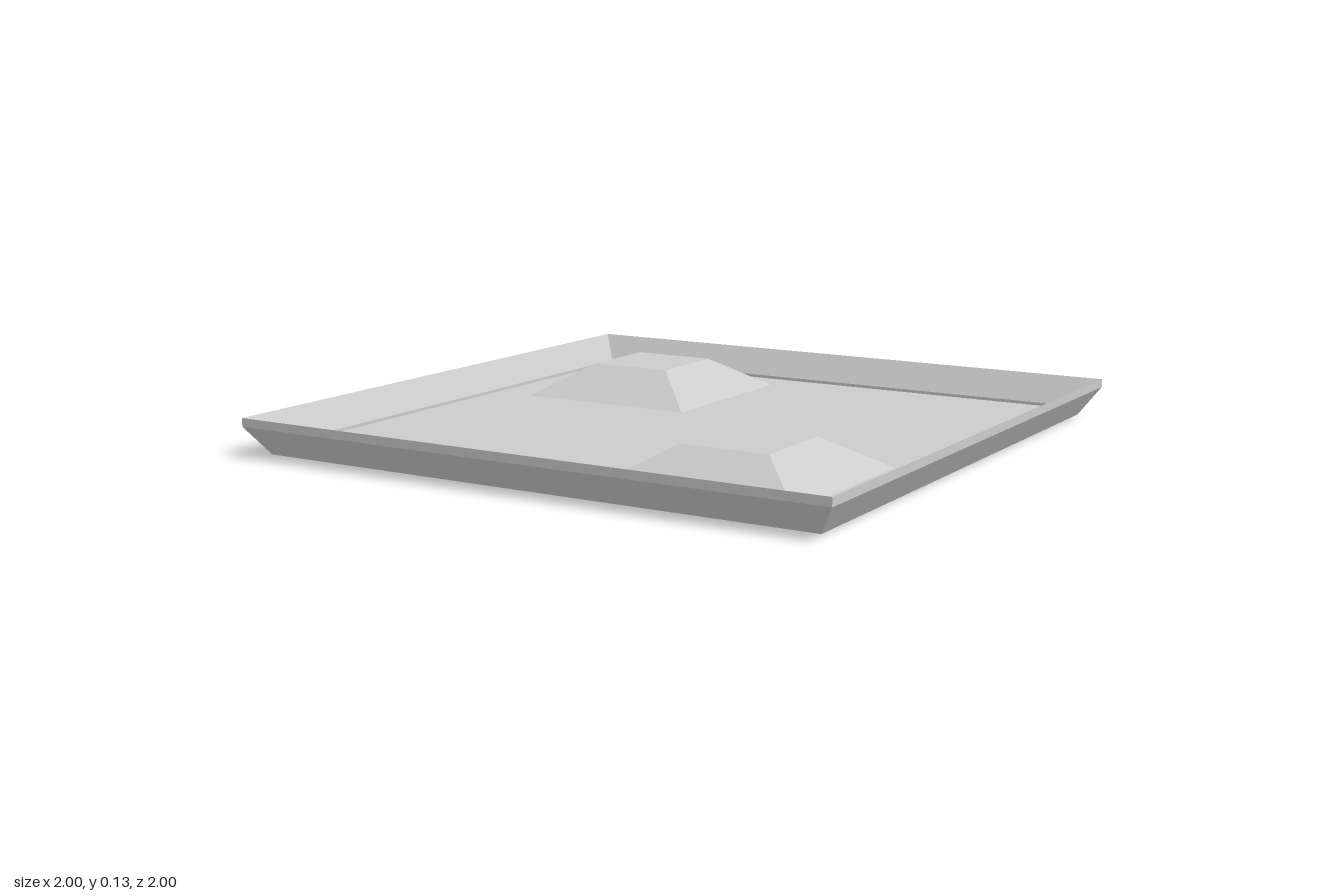
import * as THREE from 'three';

const material = new THREE.MeshStandardMaterial({
  color: 0xcccccc, flatShading: true, side: THREE.DoubleSide,
});

// Square ring swept from a profile of [half width, height] points.
function squareLathe(name, profile) {
  const points = profile.map(([h, y]) => new THREE.Vector2(h * Math.SQRT2, y));
  const geometry = new THREE.LatheGeometry(points, 4).rotateY(Math.PI / 4).toNonIndexed();
  geometry.computeVertexNormals();
  const mesh = new THREE.Mesh(geometry, material);
  mesh.name = name;
  return mesh;
}

export function createModel() {
  const model = new THREE.Group();
  model.name = 'tray';

  // Thin floor sheet, set between the lower edges of the rim
  const floor = new THREE.Mesh(new THREE.PlaneGeometry(1.88, 1.88).rotateX(-Math.PI / 2), material);
  floor.name = 'floor';
  floor.position.y = 0.022;
  model.add(floor);

  // Flared rim with a slanted cross-section
  model.add(squareLathe('rim', [
    [0.94, 0.005], [1, 0.095], [1, 0.122], [0.94, 0.032], [0.94, 0.005],
  ]));

  // Two hollow raised blocks on opposite corners, open underneath
  for (const side of [-1, 1]) {
    const block = squareLathe(side < 0 ? 'backRightBlock' : 'frontLeftBlock', [
      [0.345, 0], [0.145, 0.127], [0, 0.127],
    ]);
    block.position.set(side * 0.487, 0, side * 0.513);
    model.add(block);
  }
  return model;
}
